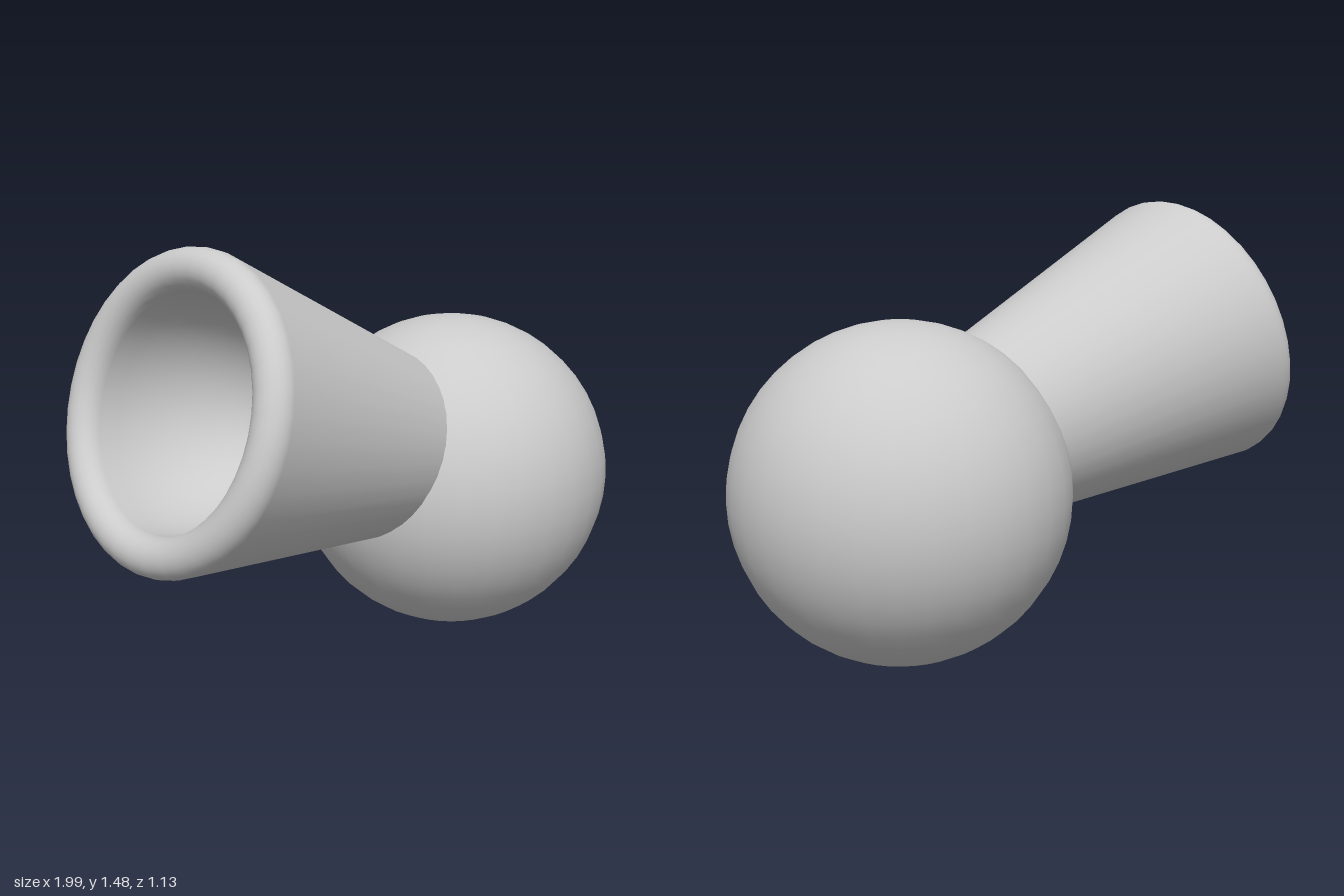
import * as THREE from 'three';

const material = new THREE.MeshStandardMaterial({ color: 0xcccccc });

function part(name, geometry) {
  const mesh = new THREE.Mesh(geometry, material);
  mesh.name = name;
  return mesh;
}

// Cup profile, measured along its axis from the point where the cone would close
function cupProfile() {
  const taper = THREE.MathUtils.degToRad(11);
  const rimR = 0.435, rimY = 2.575, lip = 0.065, depth = 0.5;
  const points = [new THREE.Vector2(1.6 * Math.tan(taper), 1.6)];
  // rounded lip, from the outer wall over to the inner wall
  for (let i = 0; i <= 12; i++) {
    const a = -taper + (Math.PI + taper) * (i / 12);
    points.push(new THREE.Vector2(rimR + lip * Math.cos(a), rimY + lip * Math.sin(a)));
  }
  // rounded hollow
  for (let i = 1; i <= 12; i++) {
    const a = (Math.PI / 2) * (i / 12);
    points.push(new THREE.Vector2(Math.max(0, (rimR - lip) * Math.cos(a)), rimY - depth * Math.sin(a)));
  }
  return points;
}

export function createModel() {
  const model = new THREE.Group();
  model.name = 'ballAndCup';

  // Ball resting on the ground
  const ball = part('ball', new THREE.SphereGeometry(0.563, 32, 24));
  ball.position.set(0.432, 0.565, 0);
  model.add(ball);

  // Flared cup growing out of the ball, tipped up to the side
  const cup = part('cup', new THREE.LatheGeometry(cupProfile(), 40));
  cup.position.set(1.655, 0.244, 0);
  cup.rotation.z = THREE.MathUtils.degToRad(73);
  model.add(cup);

  return model;
}
